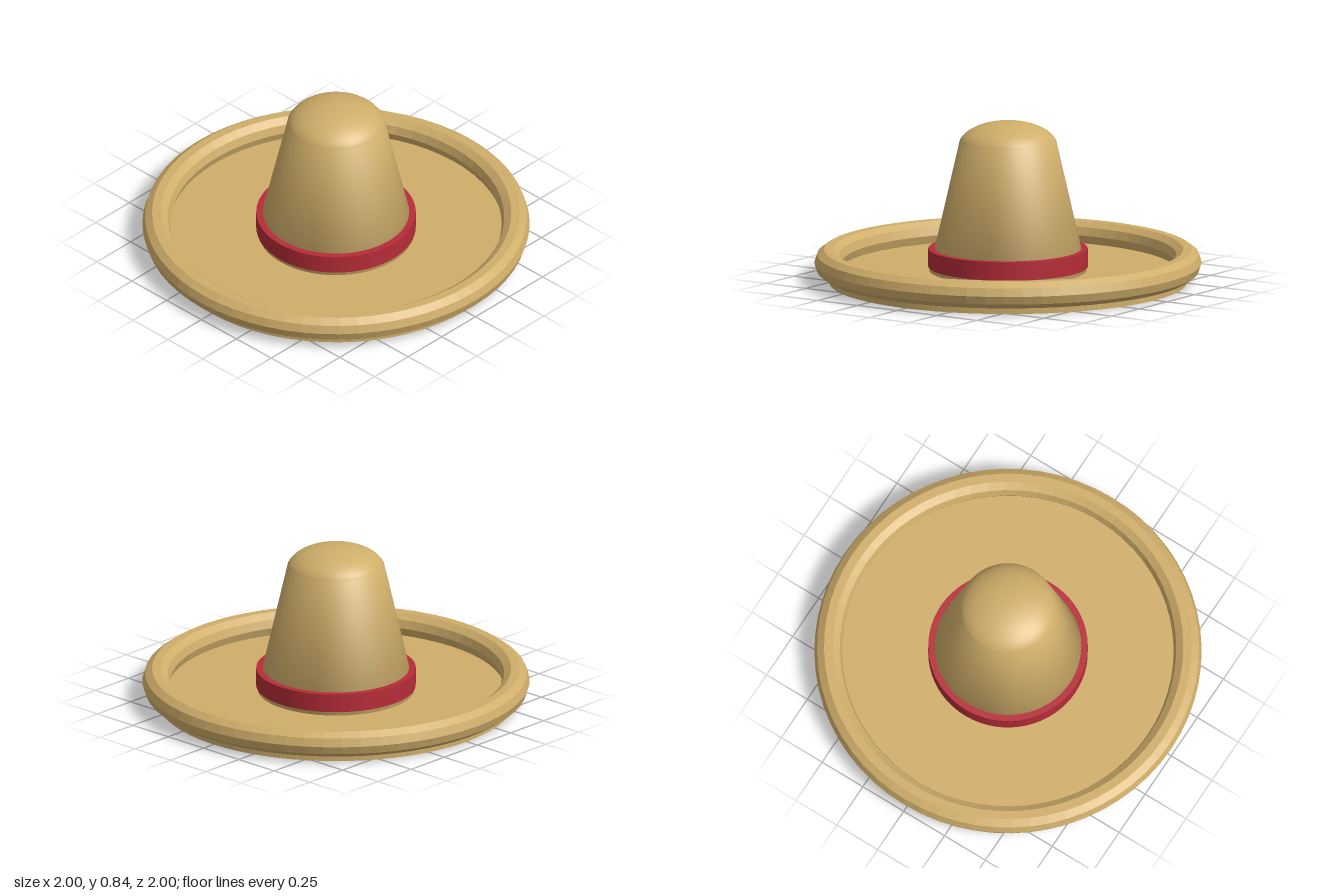
import * as THREE from 'three';

export function createModel() {
  const hat = new THREE.Group();
  hat.name = 'wideBrimHat';

  const straw = new THREE.MeshStandardMaterial({ name: 'straw', color: 0xd0ae6a });
  const strawFlat = new THREE.MeshStandardMaterial({ name: 'strawFaceted', color: 0xd0ae6a });
  strawFlat.flatShading = true;
  const red = new THREE.MeshStandardMaterial({ name: 'redBand', color: 0xb62c38 });

  const add = (name, geometry, material, y = 0) => {
    const mesh = new THREE.Mesh(geometry, material);
    mesh.name = name;
    mesh.position.y = y;
    hat.add(mesh);
    return mesh;
  };

  // Flat brim disc resting on the ground
  add('brim', new THREE.CylinderGeometry(0.925, 0.925, 0.06, 64), straw, 0.03);

  // Rolled rim with ten flat bands around its section
  const rim = new THREE.TorusGeometry(0.9275, 0.0725, 10, 64).rotateX(-Math.PI / 2);
  add('rolledRim', rim, strawFlat, 0.103);

  // Tapered crown, softly shaded into its closed ends
  const crownProfile = [[0, 0.03], [0.412, 0.03], [0.25, 0.74], [0, 0.74]];
  add('crown', new THREE.LatheGeometry(crownProfile.map(([r, y]) => new THREE.Vector2(r, y)), 64), straw);

  // Low rounded top, cut off by the crown's upper edge
  const dome = new THREE.SphereGeometry(1, 64, 16, 0, Math.PI * 2, 0, 1.34).scale(0.257, 0.132, 0.257);
  add('crownTop', dome, straw, 0.71);

  // Red band around the foot of the crown
  add('hatBand', new THREE.CylinderGeometry(0.412, 0.412, 0.096, 64), red, 0.129);

  return hat;
}
